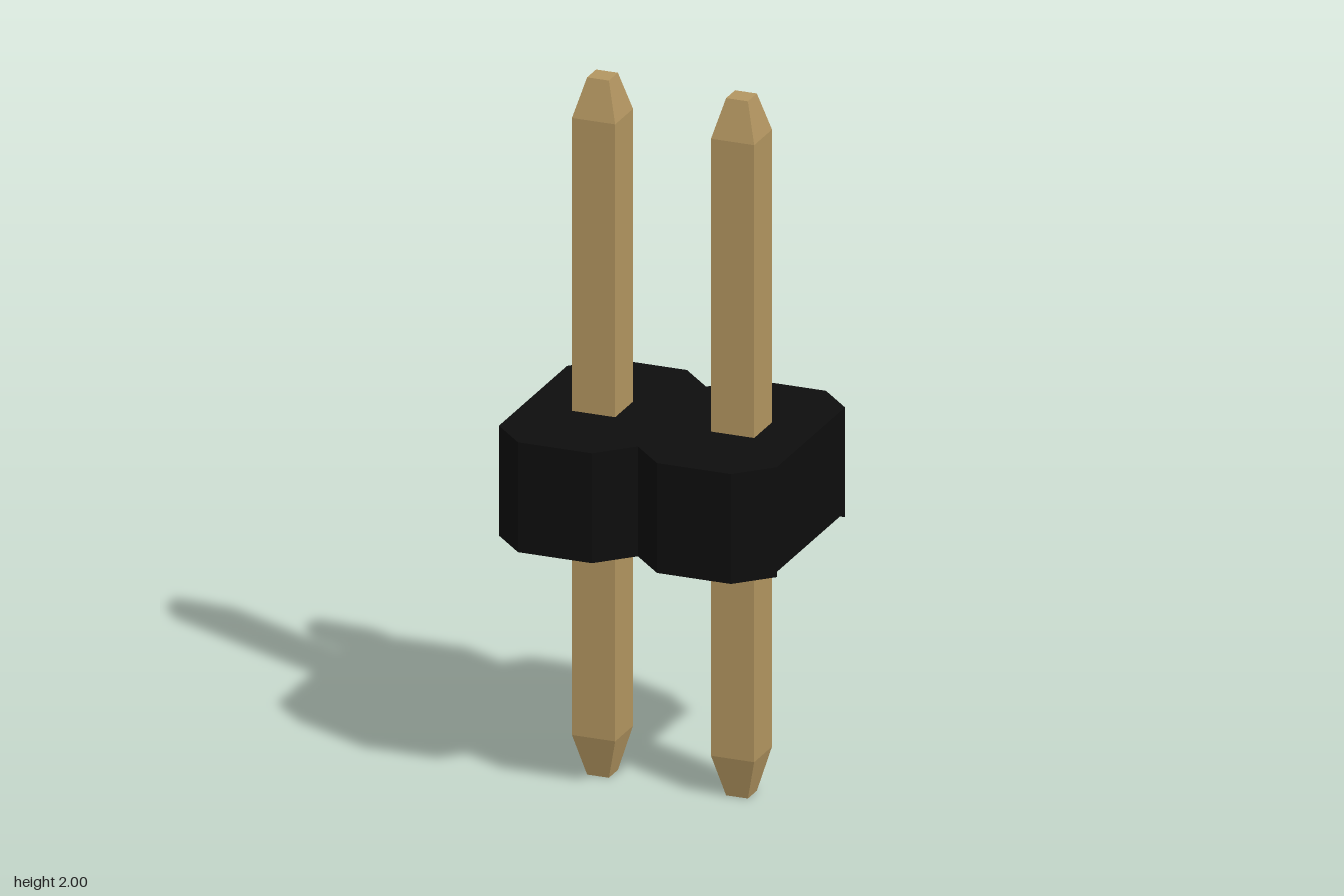
import * as THREE from 'three';

const PITCH = 0.402;           // distance between pins
const HALF_W = PITCH / 2, CHAMFER_Z = 0.239, HALF_D = 0.333, TOP_W = 0.107;
const BODY_BOTTOM = 0.75, BODY_TOP = 1.05, FOOT_BOTTOM = 0.735;

// Extrude a plan outline of [x, z] points upward from y0 to y1
function slab(points, y0, y1) {
  const shape = new THREE.Shape(points.map(([x, z]) => new THREE.Vector2(x, -z)));
  const geo = new THREE.ExtrudeGeometry(shape, { depth: y1 - y0, bevelEnabled: false });
  return geo.rotateX(-Math.PI / 2).translate(0, y0, 0);
}

// Square pin with both ends tapered
function pinGeometry() {
  const r = 0.0625 * Math.SQRT2, t = 0.0315 * Math.SQRT2;
  const profile = [[0, 0], [t, 0], [r, 0.12], [r, 1.89], [t, 2], [0, 2]]
    .map(([x, y]) => new THREE.Vector2(x, y));
  const geo = new THREE.LatheGeometry(profile, 4, Math.PI / 4).toNonIndexed();
  geo.computeVertexNormals();
  return geo;
}

export function createModel() {
  const model = new THREE.Group();
  model.name = 'pinHeader';
  const plastic = new THREE.MeshStandardMaterial({ color: 0x0d0d0d });
  plastic.name = 'black plastic';
  const gold = new THREE.MeshStandardMaterial({ color: 0xb29560 });
  gold.name = 'gold metal';

  const add = (name, geo, mat) => {
    const mesh = new THREE.Mesh(geo, mat);
    mesh.name = name;
    model.add(mesh);
  };

  // Housing outline: two chamfered cells side by side
  const edge = [
    [-2 * HALF_W, CHAMFER_Z], [-HALF_W - TOP_W, HALF_D], [-HALF_W + TOP_W, HALF_D], [0, CHAMFER_Z],
    [HALF_W - TOP_W, HALF_D], [HALF_W + TOP_W, HALF_D], [2 * HALF_W, CHAMFER_Z],
  ];
  const outline = [...edge, ...edge.map(([x, z]) => [-x, -z])];
  add('housing', slab(outline, BODY_BOTTOM, BODY_TOP), plastic);

  const pin = pinGeometry();
  for (const side of [-1, 1]) {
    const label = side > 0 ? 'left' : 'right';
    const cx = side * HALF_W;
    add(label + 'Pin', pin.clone().translate(cx, 0, 0), gold);

    // Stand-off feet under the chamfered ends of each cell
    for (const s of [-1, 1]) {
      const foot = [
        [cx - HALF_W, s * CHAMFER_Z], [cx - TOP_W, s * HALF_D],
        [cx + TOP_W, s * HALF_D], [cx + HALF_W, s * CHAMFER_Z],
      ];
      add(label + (s > 0 ? 'FrontFoot' : 'BackFoot'), slab(foot, FOOT_BOTTOM, BODY_BOTTOM), plastic);
    }
  }
  return model;
}
